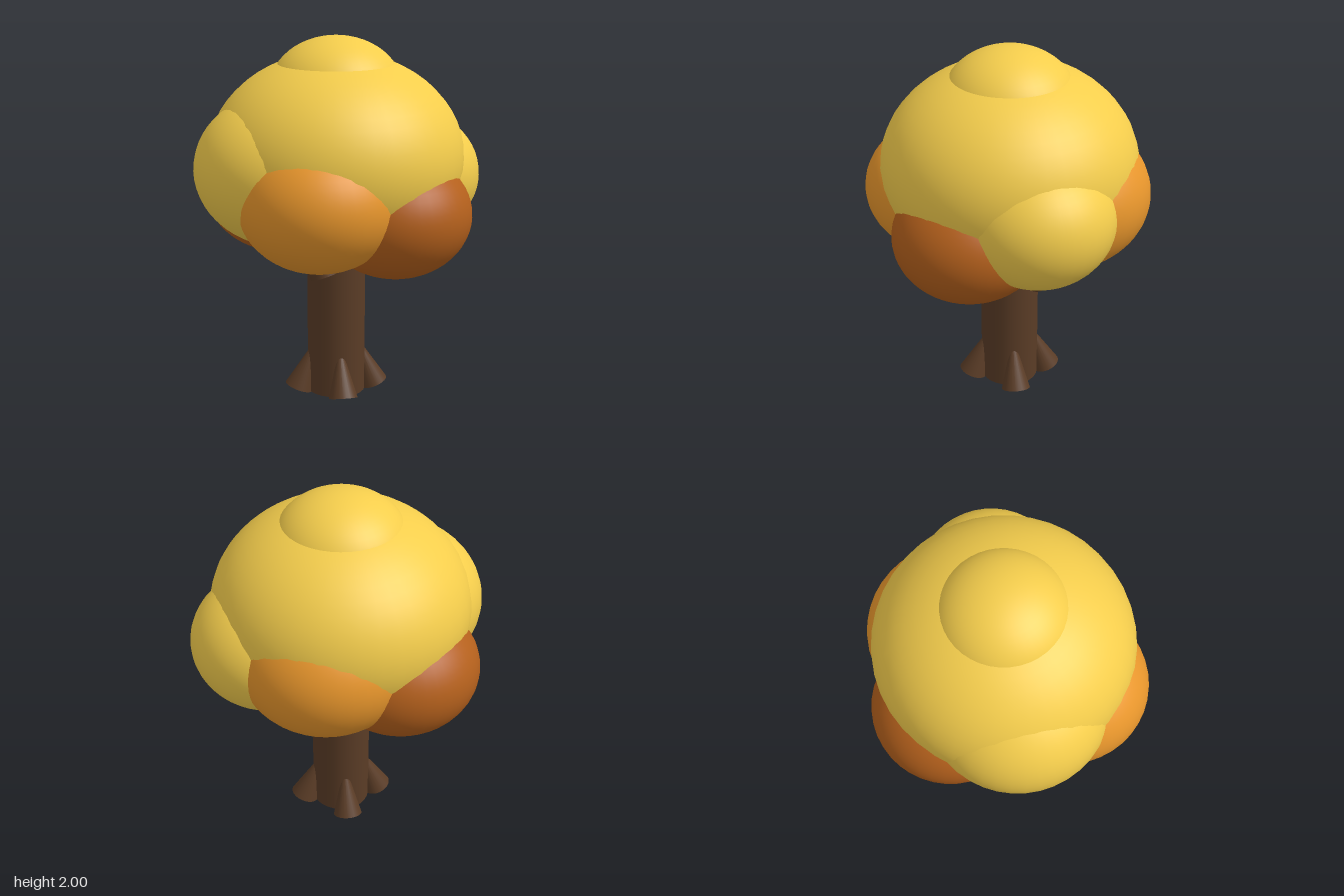
import * as THREE from 'three';

const CX = -0.02, CZ = -0.02; // trunk axis

export function createModel() {
  const tree = new THREE.Group();
  tree.name = 'tree';
  const paint = (color) => new THREE.MeshStandardMaterial({ color });
  const bark = paint(0x5a3c26);
  const yellow = paint(0xf4cd4c);
  const orange = paint(0xe8962c);
  const rust = paint(0xb4601c);

  const add = (name, geometry, material, parent = tree) => {
    const mesh = new THREE.Mesh(geometry, material);
    mesh.name = name;
    parent.add(mesh);
    return mesh;
  };

  // Round bar between two points
  const bar = (name, from, to, rFrom, rTo, parent) => {
    const a = new THREE.Vector3(...from), b = new THREE.Vector3(...to);
    const dir = b.clone().sub(a);
    const mesh = add(name, new THREE.CylinderGeometry(rTo, rFrom, dir.length(), 24), bark, parent);
    mesh.position.copy(a).add(b).multiplyScalar(0.5);
    mesh.quaternion.setFromUnitVectors(new THREE.Vector3(0, 1, 0), dir.normalize());
  };

  // Trunk and two short branch stubs running up into the leaves
  bar('trunk', [CX, 0.01, CZ], [CX, 0.9, CZ], 0.16, 0.16, tree);
  bar('branchFront', [-0.08, 0.722, 0.15], [-0.145, 0.92, 0.12], 0.078, 0.07, tree);
  bar('branchBack', [0.095, 0.66, -0.19], [0.14, 0.95, -0.1], 0.058, 0.06, tree);

  // Four cone roots leaning against the trunk
  const roots = new THREE.Group();
  roots.name = 'roots';
  roots.position.set(CX, 0, CZ);
  tree.add(roots);
  for (let i = 0; i < 4; i++) {
    const angle = 0.2 + i * Math.PI / 2;
    const at = (r, y) => [r * Math.sin(angle), y, r * Math.cos(angle)];
    bar('root', at(0.213, 0.028), at(0.115, 0.298), 0.08, 0.004, roots);
  }

  // Leaf masses: name, colour, centre, horizontal radius, vertical radius
  const crown = new THREE.Group();
  crown.name = 'crown';
  tree.add(crown);
  const masses = [
    ['crownMain', yellow, [CX, 1.355, CZ], 0.69, 0.56],
    ['crownTop', yellow, [CX, 1.71, CZ], 0.36, 0.29],
    ['crownYellowRight', yellow, [-0.29, 1.31, 0.11], 0.485, 0.415],
    ['crownYellowLeft', yellow, [0.36, 1.225, -0.175], 0.408, 0.36],
    ['crownOrangeFront', orange, [-0.1, 1.18, 0.34], 0.43, 0.365],
    ['crownOrangeBack', orange, [0.054, 1.22, -0.3], 0.473, 0.4],
    ['crownRustLeft', rust, [0.295, 1.08, 0.18], 0.41, 0.34],
    ['crownRustRight', rust, [-0.33, 1.11, -0.24], 0.422, 0.345],
  ];
  for (const [name, material, centre, r, ry] of masses) {
    const mesh = add(name, new THREE.SphereGeometry(1, 40, 28), material, crown);
    mesh.position.set(...centre);
    mesh.scale.set(r, ry, r);
  }
  return tree;
}
